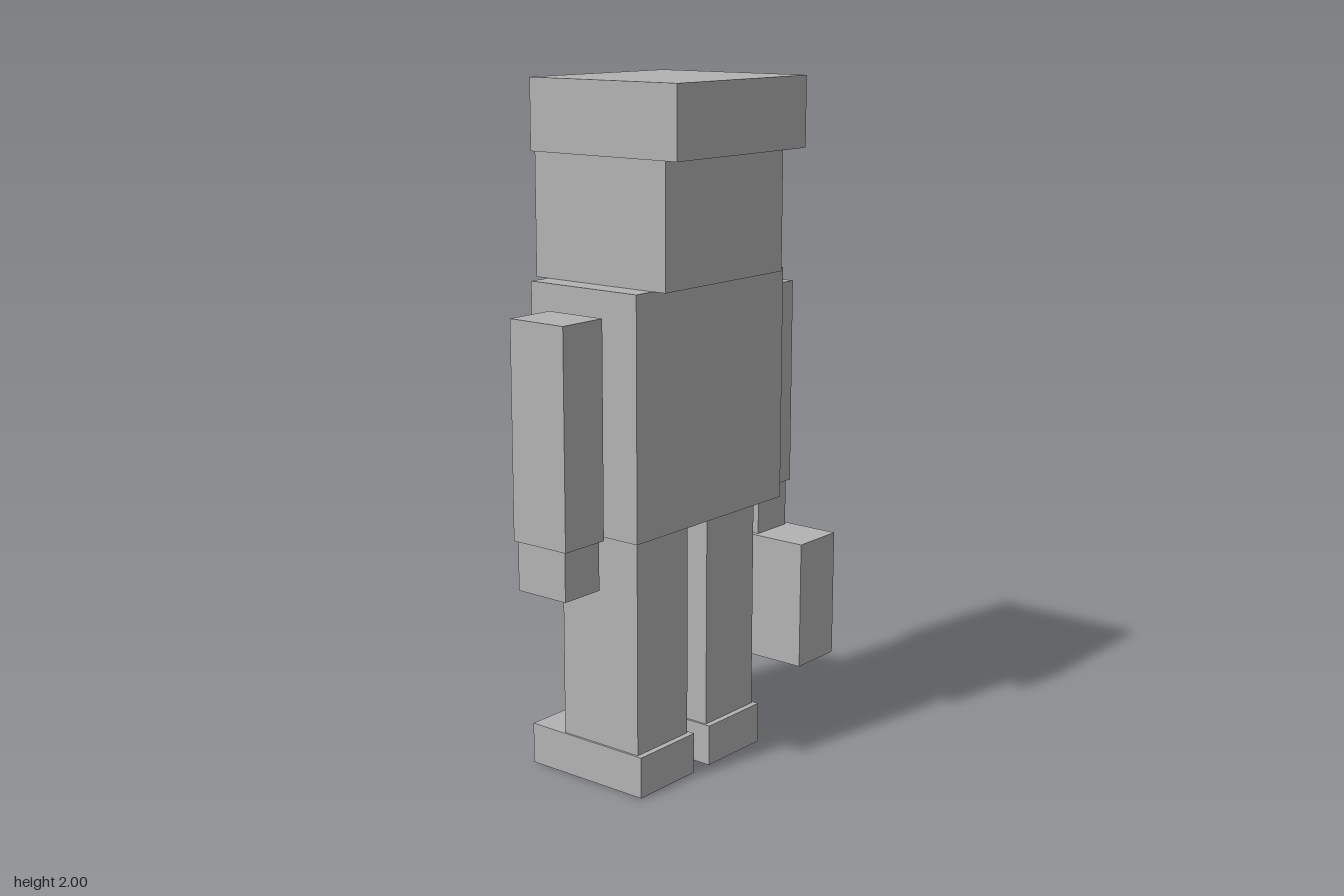
import * as THREE from 'three';

const grey = new THREE.MeshStandardMaterial({ color: 0xb3b3b3, side: THREE.DoubleSide });
grey.name = 'plain grey';

// Hollow block without a bottom face, given by its extents.
function block(name, [x0, x1], [y0, y1], [z0, z1]) {
  const geometry = new THREE.BoxGeometry(x1 - x0, y1 - y0, z1 - z0);
  const index = Array.from(geometry.index.array);
  index.splice(18, 6); // remove the underside
  geometry.setIndex(index);
  geometry.clearGroups();
  const mesh = new THREE.Mesh(geometry, grey);
  mesh.name = name;
  mesh.position.set((x0 + x1) / 2, (y0 + y1) / 2, (z0 + z1) / 2);
  return mesh;
}

// Flat sheet facing -z.
function sheet(name, [x0, x1], [y0, y1], z) {
  const mesh = new THREE.Mesh(new THREE.PlaneGeometry(x1 - x0, y1 - y0), grey);
  mesh.name = name;
  mesh.rotation.y = Math.PI;
  mesh.position.set((x0 + x1) / 2, (y0 + y1) / 2, z);
  return mesh;
}

export function createModel() {
  const model = new THREE.Group();
  model.name = 'blockFigure';

  // Head, hair and body
  model.add(
    block('hair', [-0.29, 0.278], [1.8, 2], [-0.242, 0.275]),
    block('head', [-0.265, 0.253], [1.45, 1.86], [-0.25, 0.216]),
    block('torso', [-0.333, 0.321], [0.765, 1.45], [-0.207, 0.172])
  );

  // Face and clothing details
  for (const x of [-0.129, 0.113]) {
    model.add(sheet('eye', [x - 0.043, x + 0.043], [1.625, 1.72], -0.26));
  }
  model.add(
    sheet('shirtFront', [-0.09, 0.08], [1.22, 1.45], -0.229),
    sheet('tie', [-0.045, 0.035], [0.97, 1.38], -0.243)
  );

  // Arms and hands
  for (const [side, x] of [['right', -0.515], ['left', 0.349]]) {
    model.add(
      block(side + 'Arm', [x, x + 0.155], [0.765, 1.38], [-0.114, 0.076]),
      block(side + 'Hand', [x + 0.006, x + 0.144], [0.624, 0.765], [-0.104, 0.068])
    );
  }

  // Legs and shoes
  for (const [side, x] of [['right', -0.28], ['left', 0.03]]) {
    model.add(
      block(side + 'Leg', [x + 0.007, x + 0.229], [0.122, 0.765], [-0.156, 0.121]),
      block(side + 'Shoe', [x, x + 0.239], [0, 0.122], [-0.276, 0.139])
    );
  }

  // Carried case
  model.add(block('briefcase', [0.339, 0.511], [0.243, 0.624], [-0.276, 0.239]));

  return model;
}
